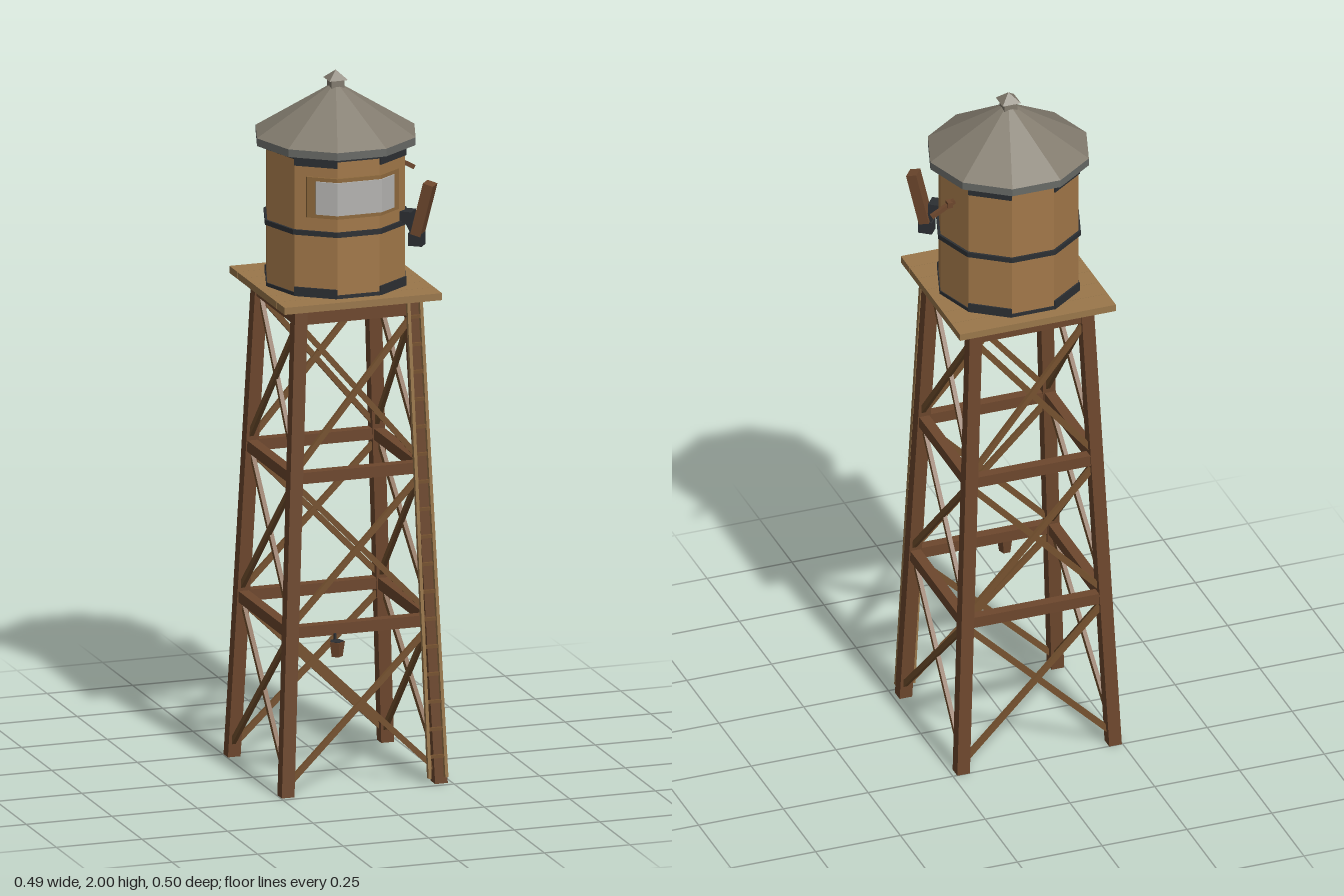
import * as THREE from 'three';

const mat = (name, color) => {
  const m = new THREE.MeshStandardMaterial({ color, flatShading: true });
  m.name = name;
  return m;
};

export function createModel() {
  const M = {
    stave: mat('tank wood', 0xa27849),
    deck: mat('deck wood', 0x9a774b),
    timber: mat('dark timber', 0x6d472d),
    brace: mat('brace wood', 0x76522f),
    roof: mat('roof', 0x827b6e),
    rim: mat('roof rim', 0x686a66),
    iron: mat('iron', 0x2c2f33),
    sign: mat('pale sign', 0xb4b3b0),
    frame: mat('sign frame', 0x8f6a3d),
  };
  const root = new THREE.Group();
  root.name = 'waterTower';
  const tower = new THREE.Group();
  tower.name = 'tower';
  tower.position.set(-0.005, 0, -0.009);
  root.add(tower);

  const add = (name, geo, material, x = 0, y = 0, z = 0, parent = tower) => {
    const m = new THREE.Mesh(geo, material);
    m.name = name;
    m.position.set(x, y, z);
    parent.add(m);
    return m;
  };
  const box = (w, h, d) => new THREE.BoxGeometry(w, h, d);
  const V = (x, y, z) => new THREE.Vector3(x, y, z);
  // Straight bar between two points, w across and h along the up hint
  const bar = (name, a, b, w, h, material, parent = tower, up = V(0, 1, 0)) => {
    const m = new THREE.Mesh(box(w, h, a.distanceTo(b)), material);
    m.name = name;
    m.up.copy(up);
    m.position.copy(a).lerp(b, 0.5);
    m.lookAt(b);
    parent.add(m);
    return m;
  };
  // Ten-sided drum with a corner on the x axis
  const drum = (rTop, rBottom, h) =>
    new THREE.CylinderGeometry(rTop, rBottom, h, 10, 1, false, Math.PI / 2);

  // Distance of the leg axis from the middle at height y
  const off = (y) => 0.224 - 0.0435 * y;

  // Four leaning legs
  for (const sx of [-1, 1]) for (const sz of [-1, 1]) {
    const g = box(0.037, 1.38, 0.037).translate(0, 0.69, 0);
    const p = g.attributes.position;
    for (let i = 0; i < p.count; i++) {
      const o = off(p.getY(i));
      p.setX(i, p.getX(i) + sx * o);
      p.setZ(i, p.getZ(i) + sz * o);
    }
    add('leg', g, M.timber);
  }

  // Rails and cross braces on each side
  for (let k = 0; k < 4; k++) {
    const side = new THREE.Group();
    side.name = 'side';
    side.rotation.y = k * Math.PI / 2;
    tower.add(side);
    for (const [y, h] of [[0.463, 0.032], [0.897, 0.032], [1.354, 0.048]]) {
      add('rail', box(2 * off(y), h, 0.03), M.timber, 0, y, off(y), side);
    }
    for (const [y0, y1] of [[0.03, 0.447], [0.48, 0.88], [0.915, 1.33]]) {
      for (const s of [-1, 1]) {
        const d = s * 0.004;
        bar('crossBrace', V(-s * off(y0), y0, off(y0) + d), V(s * off(y1), y1, off(y1) + d),
          0.012, 0.016, M.brace, side);
      }
    }
  }

  // Plank deck
  const plank = 0.46 / 7;
  for (let i = 0; i < 7; i++) {
    add('deckPlank', box(0.46, 0.02, plank - 0.001), M.deck, 0, 1.389, (i - 3) * plank);
  }

  // Tank and its iron bands
  add('tank', drum(0.2, 0.2, 0.41), M.stave, 0, 1.602, 0);
  add('lowerBand', drum(0.203, 0.203, 0.01), M.iron, 0, 1.404, 0);
  add('middleBand', drum(0.207, 0.207, 0.014), M.iron, 0, 1.582, 0);
  add('upperBand', drum(0.203, 0.203, 0.01), M.iron, 0, 1.795, 0);
  for (const deg of [54, 126, 234, 306]) {
    const a = deg * Math.PI / 180;
    for (const y of [1.412, 1.785]) {
      const m = add('bandPlate', box(0.124, 0.026, 0.008), M.iron,
        0.191 * Math.cos(a), y, 0.191 * Math.sin(a));
      m.rotation.y = Math.PI / 2 - a;
    }
  }

  // Roof, rim and finial
  add('roofRim', drum(0.23, 0.23, 0.022), M.rim, 0, 1.813, 0);
  add('roof', drum(0.012, 0.23, 0.136), M.roof, 0, 1.892, 0);
  add('finialPost', box(0.038, 0.035, 0.038), M.roof, 0, 1.957, 0);
  const cap = new THREE.ConeGeometry(0.027 * Math.SQRT2, 0.026, 4).rotateY(Math.PI / 4);
  add('finialCap', cap, M.roof, 0, 1.987, 0);

  // Sign bent around the front of the tank
  const wrap = (half, y0, y1, t) => {
    const line = (R) => {
      const c = R * Math.cos(Math.PI * 0.4), z = R * Math.sin(Math.PI * 0.4);
      const e = z - (half - c) * 0.7265;
      return [[-half, e], [-c, z], [c, z], [half, e]];
    };
    const pts = [...line(0.2 + t), ...line(0.198).reverse()];
    const shape = new THREE.Shape(pts.map(([x, z]) => new THREE.Vector2(x, -z)));
    return new THREE.ExtrudeGeometry(shape, { depth: y1 - y0, bevelEnabled: false })
      .rotateX(-Math.PI / 2).translate(0, y0, 0);
  };
  add('signFrame', wrap(0.135, 1.627, 1.743, 0.006), M.frame);
  add('signPanel', wrap(0.115, 1.638, 1.732, 0.01), M.sign);

  // Folded spout: local +x points away from the tank
  const spout = new THREE.Group();
  spout.name = 'spout';
  spout.rotation.y = -37.5 * Math.PI / 180;
  tower.add(spout);
  add('spoutBracket', box(0.035, 0.032, 0.042), M.iron, 0.208, 1.6, 0, spout);
  add('spoutElbow', box(0.04, 0.036, 0.036), M.iron, 0.235, 1.537, 0, spout);
  bar('spoutStem', V(0.21, 1.595, 0), V(0.235, 1.545, 0), 0.022, 0.02, M.iron, spout);
  bar('spoutChute', V(0.237, 1.55, 0), V(0.274, 1.698, 0), 0.04, 0.03, M.timber, spout, V(1, 0, 0));

  // Lever on the right-hand wall
  bar('lever', V(0.18, 1.722, -0.056), V(0.248, 1.684, -0.056), 0.012, 0.012, M.timber);
  add('leverMount', box(0.014, 0.016, 0.022), M.timber, 0.196, 1.715, -0.056);

  // Ladder leaning on the front leg
  const zAt = (y) => off(y) + 0.0255;
  const left = (y) => 0.187 - 0.031 * y, right = (y) => 0.236 - 0.04 * y;
  for (const f of [left, right]) {
    bar('ladderRail', V(f(0.02), 0.02, zAt(0.02)), V(f(1.375), 1.375, zAt(1.375)),
      0.009, 0.014, M.deck, tower, V(0, 0, 1));
  }
  for (let i = 0; i < 17; i++) {
    const y = 0.08 + i * 0.078;
    bar('ladderRung', V(left(y), y, zAt(y)), V(right(y), y, zAt(y)), 0.008, 0.009, M.brace);
  }

  // Hanging bucket
  add('bucket', new THREE.CylinderGeometry(0.023, 0.017, 0.042, 5), M.timber, -0.08, 0.412, 0.235);
  add('bucketRim', new THREE.CylinderGeometry(0.02, 0.02, 0.004, 5), M.iron, -0.08, 0.433, 0.235);
  add('bucketHook', box(0.006, 0.02, 0.006), M.iron, -0.08, 0.442, 0.222);

  return root;
}
